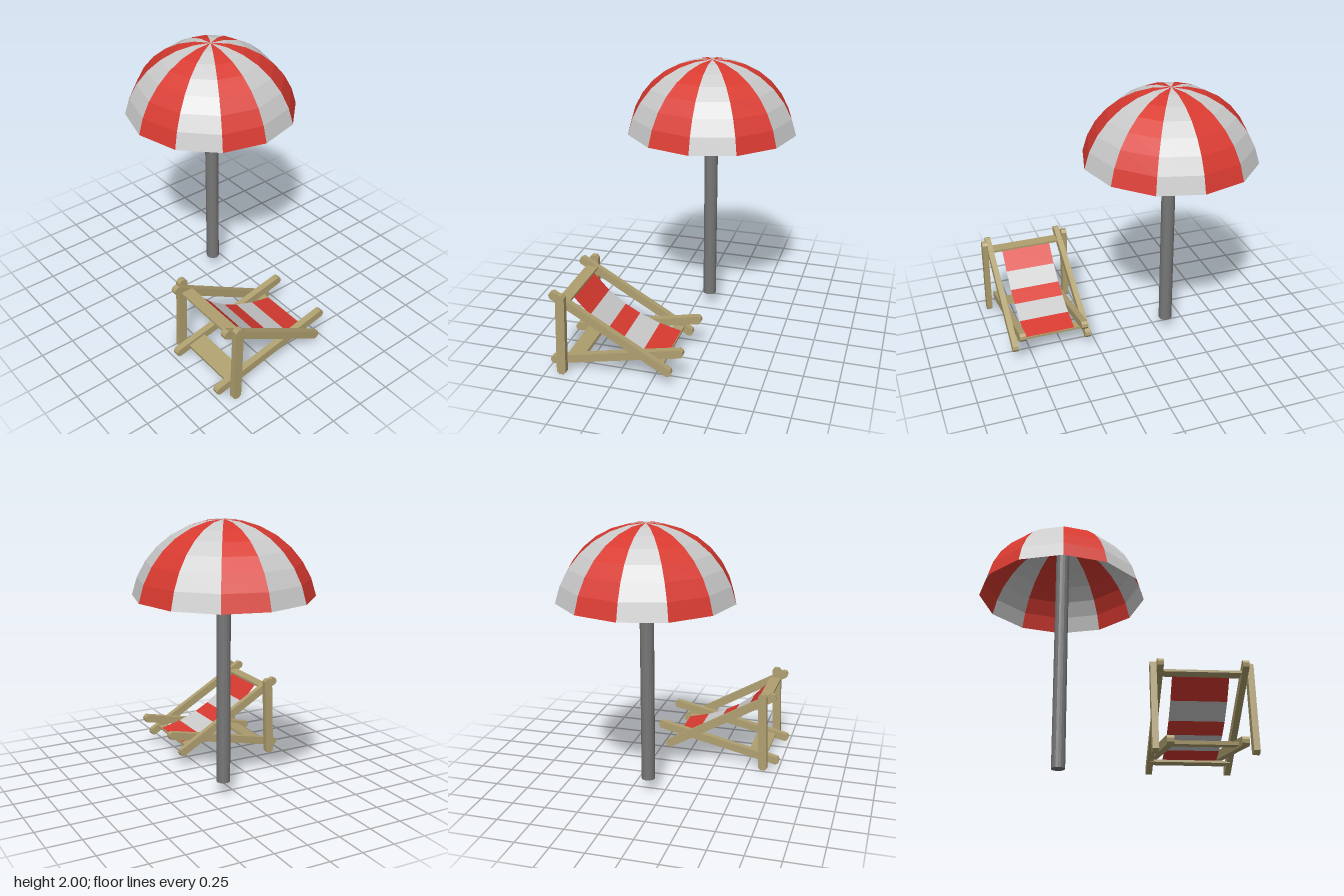
import * as THREE from 'three';

const material = (color, side = THREE.FrontSide) =>
  new THREE.MeshStandardMaterial({ color, side, flatShading: true });

const wood = material(0xb0a070);
const poleGrey = material(0x777777);
const red = material(0xd83a30, THREE.DoubleSide);
const pale = material(0xcccccc, THREE.DoubleSide);

function addMesh(parent, name, geometry, mat) {
  const mesh = new THREE.Mesh(geometry, mat);
  mesh.name = name;
  parent.add(mesh);
  return mesh;
}

// Wooden bar with clipped corners, running between two points in the xy plane
function addBar(parent, name, [x0, y0], [x1, y1], width, z, depth) {
  const length = Math.hypot(x1 - x0, y1 - y0);
  const h = width / 2, c = 0.018;
  const shape = new THREE.Shape([
    [0, -h + c], [c, -h], [length - c, -h], [length, -h + c],
    [length, h - c], [length - c, h], [c, h], [0, h - c],
  ].map(([x, y]) => new THREE.Vector2(x, y)));
  const geometry = new THREE.ExtrudeGeometry(shape, { depth, bevelEnabled: false });
  geometry.translate(0, 0, -depth / 2);
  const bar = addMesh(parent, name, geometry, wood);
  bar.position.set(x0, y0, z);
  bar.rotation.z = Math.atan2(y1 - y0, x1 - x0);
}

// Flat plank across the chair
function addPlank(parent, name, x, y, width, thickness, span, tilt = 0) {
  const plank = addMesh(parent, name, new THREE.BoxGeometry(width, thickness, span), wood);
  plank.position.set(x, y, 0);
  plank.rotation.z = tilt;
}

function createParasol() {
  const parasol = new THREE.Group();
  parasol.name = 'parasol';

  const pole = addMesh(parasol, 'pole', new THREE.CylinderGeometry(0.05, 0.05, 1.85, 16), poleGrey);
  pole.position.y = 0.115 + 1.85 / 2;

  // Canopy: a spherical cap in twelve panels of alternating colour
  const canopy = new THREE.Group();
  canopy.name = 'canopy';
  const radius = 0.642, rimAngle = 1.379, rings = 7;
  const profile = [];
  for (let i = 0; i <= rings; i++) {
    const a = rimAngle * (1 - i / rings);
    profile.push(new THREE.Vector2(radius * Math.sin(a), 2 - radius + radius * Math.cos(a)));
  }
  const step = Math.PI / 6;
  for (let i = 0; i < 12; i++) {
    addMesh(canopy, 'canopyPanel', new THREE.LatheGeometry(profile, 1, i * step, step), i % 2 ? red : pale);
  }
  parasol.add(canopy);
  parasol.position.set(0.11, 0, -0.315);
  return parasol;
}

function createDeckChair() {
  const chair = new THREE.Group();
  chair.name = 'deckChair';

  // Side frames
  for (const side of [-1, 1]) {
    addBar(chair, 'rearPost', [-0.635, 0], [-0.615, 0.625], 0.066, side * 0.319, 0.042);
    addBar(chair, 'backRail', [-0.71, 0.605], [0.15, 0.108], 0.06, side * 0.279, 0.042);
    addBar(chair, 'seatRail', [-0.745, 0.05], [0.225, 0.262], 0.06, side * 0.235, 0.047);
  }

  // Cross planks
  addPlank(chair, 'topPlank', -0.615, 0.552, 0.09, 0.016, 0.6);
  addPlank(chair, 'frontPlank', 0.05, 0.156, 0.08, 0.016, 0.56);
  addPlank(chair, 'rearPlank', -0.57, 0.085, 0.14, 0.024, 0.44, 0.215);

  // Sagging striped canvas
  const sag = [
    [-0.58, 0.55], [-0.46, 0.42], [-0.335, 0.325],
    [-0.225, 0.265], [-0.075, 0.205], [0.085, 0.166],
  ];
  for (let i = 0; i < sag.length - 1; i++) {
    const [x0, y0] = sag[i], [x1, y1] = sag[i + 1];
    const strip = addMesh(chair, 'canvasStripe',
      new THREE.PlaneGeometry(Math.hypot(x1 - x0, y1 - y0), 0.38).rotateX(-Math.PI / 2),
      i % 2 ? pale : red);
    strip.position.set((x0 + x1) / 2, (y0 + y1) / 2, 0);
    strip.rotation.z = Math.atan2(y1 - y0, x1 - x0);
  }

  chair.position.z = 0.605;
  return chair;
}

export function createModel() {
  const model = new THREE.Group();
  model.name = 'beachSet';
  model.add(createParasol(), createDeckChair());
  return model;
}
